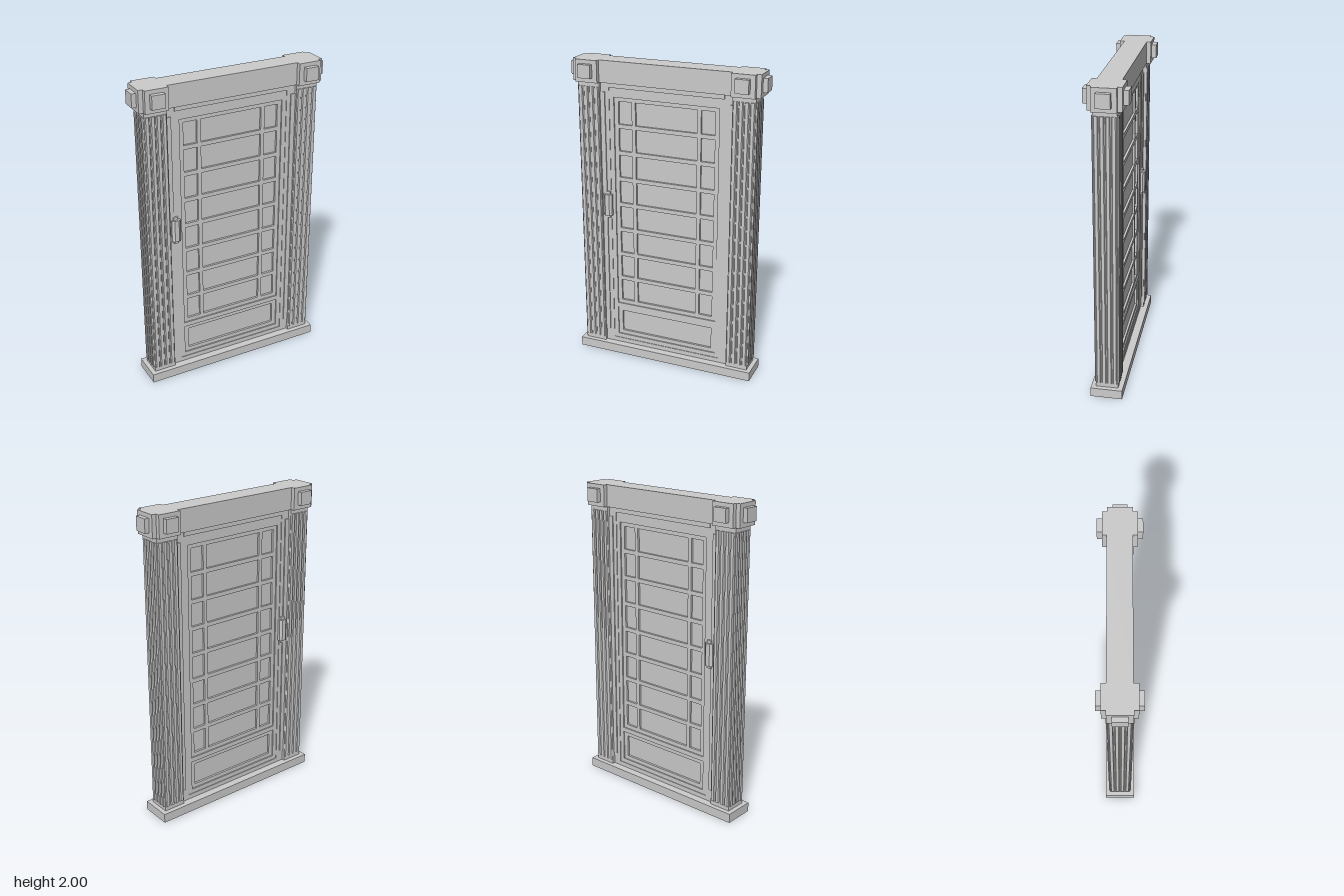
import * as THREE from 'three';

const material = new THREE.MeshStandardMaterial({ color: 0xcccccc, flatShading: true });

function mesh(name, geometry, parent) {
  const m = new THREE.Mesh(geometry, material);
  m.name = name;
  parent.add(m);
  return m;
}

// Box given by its limits on each axis
function box(name, parent, x0, x1, y0, y1, z0, z1) {
  const m = mesh(name, new THREE.BoxGeometry(x1 - x0, y1 - y0, z1 - z0), parent);
  m.position.set((x0 + x1) / 2, (y0 + y1) / 2, (z0 + z1) / 2);
  return m;
}

const corners = (x0, x1, y0, y1) =>
  [[x0, y0], [x1, y0], [x1, y1], [x0, y1]].map(([x, y]) => new THREE.Vector2(x, y));

// Flat plate with rectangular openings, centred on z = 0
function plate(name, parent, outer, holes, halfDepth) {
  const shape = new THREE.Shape(corners(...outer));
  for (const h of holes) shape.holes.push(new THREE.Path(corners(...h).reverse()));
  const g = new THREE.ExtrudeGeometry(shape, { depth: halfDepth * 2, bevelEnabled: false });
  g.translate(0, 0, -halfDepth);
  return mesh(name, g, parent);
}

// Vertical prism from an outline in (x, z)
function prism(name, parent, points, y0, y1) {
  const shape = new THREE.Shape(points.map(([x, z]) => new THREE.Vector2(x, -z)));
  const g = new THREE.ExtrudeGeometry(shape, { depth: y1 - y0, bevelEnabled: false });
  g.rotateX(-Math.PI / 2);
  g.translate(0, y0, 0);
  return mesh(name, g, parent);
}

// Column with bevelled vertical ridges on its front, back and outer side
function column(side) {
  const group = new THREE.Group();
  group.name = side > 0 ? 'leftColumn' : 'rightColumn';
  const cx = side * 0.507;
  box('columnCore', group, cx - 0.072, cx + 0.072, 0.06, 1.86, -0.07, 0.07);
  const ridge = (w) => [[-w, 0], [w, 0], [w * 0.6, 0.009], [-w * 0.6, 0.009]];
  const addRidge = (x, z, angle, w) => {
    const m = prism('columnRidge', group, ridge(w), 0.09, 1.83);
    m.position.set(x, 0, z);
    m.rotation.y = angle;
  };
  for (let i = 0; i < 4; i++) {
    const t = i - 1.5;
    addRidge(cx + t * 0.036, 0.068, 0, 0.016);
    addRidge(cx + t * 0.036, -0.068, Math.PI, 0.016);
    addRidge(cx + side * 0.07, t * 0.034, side * Math.PI / 2, 0.015);
  }
  return group;
}

// Cross-shaped capital with raised square studs
function capital(side) {
  const group = new THREE.Group();
  group.name = side > 0 ? 'leftCapital' : 'rightCapital';
  const span = (a, b) => (side > 0 ? [a, b] : [-b, -a]);
  box('capitalBlock', group, ...span(0.433, 0.58), 1.86, 2, -0.1, 0.1);
  box('capitalSide', group, ...span(0.57, 0.608), 1.86, 2, -0.073, 0.073);
  box('capitalStud', group, ...span(0.465, 0.55), 1.89, 1.975, -0.13, 0.13);
  box('capitalSideStud', group, ...span(0.6, 0.637), 1.89, 1.975, -0.043, 0.043);
  return group;
}

// Door leaf: outer frame, glazing bars, and the recessed slab behind them
function door() {
  const group = new THREE.Group();
  group.name = 'door';
  const panes = [[-0.318, 0.318, 0.147, 0.295]];
  for (let row = 0; row < 8; row++) {
    const y = 0.38 + row * 0.174;
    for (const [x0, x1] of [[-0.32, -0.23], [-0.205, 0.205], [0.23, 0.32]])
      panes.push([x0, x1, y, y + 0.147]);
  }
  plate('doorFrame', group, [-0.382, 0.382, 0.09, 1.83],
    [[-0.348, 0.348, 0.353, 1.77], [-0.348, 0.348, 0.12, 0.322]], 0.046);
  plate('glazingBars', group, [-0.352, 0.352, 0.115, 1.775], panes, 0.038);
  box('doorPanel', group, -0.352, 0.352, 0.115, 1.775, -0.024, 0.024);
  return group;
}

export function createModel() {
  const model = new THREE.Group();
  model.name = 'doorway';

  box('base', model, -0.608, 0.608, 0, 0.06, -0.1, 0.1);
  box('threshold', model, -0.437, 0.437, 0.06, 0.09, -0.05, 0.05);
  box('lintel', model, -0.44, 0.44, 1.86, 2, -0.073, 0.071);
  box('headTrim', model, -0.38, 0.38, 1.83, 1.86, -0.055, 0.055);
  model.add(door());

  for (const side of [-1, 1]) {
    model.add(column(side), capital(side));
    const span = (a, b) => (side > 0 ? [a, b] : [-b, -a]);
    box('jamb', model, ...span(0.378, 0.44), 0.09, 1.86, -0.05, 0.05);
    box('jambStrip', model, ...span(0.405, 0.437), 0.145, 1.8, -0.057, 0.057);
  }

  // Handle on both faces: chamfered grip over a narrow mount
  for (const dir of [1, -1]) {
    const handle = new THREE.Group();
    handle.name = dir > 0 ? 'frontHandle' : 'backHandle';
    box('handleMount', handle, -0.015, 0.015, 0.97, 1.15, 0.04, 0.064);
    prism('handleGrip', handle,
      [[-0.029, 0.05], [-0.029, 0.066], [-0.014, 0.078], [0.014, 0.078], [0.029, 0.066], [0.029, 0.05]],
      0.988, 1.132);
    handle.position.x = -0.396;
    handle.rotation.y = dir > 0 ? 0 : Math.PI;
    model.add(handle);
  }
  return model;
}
